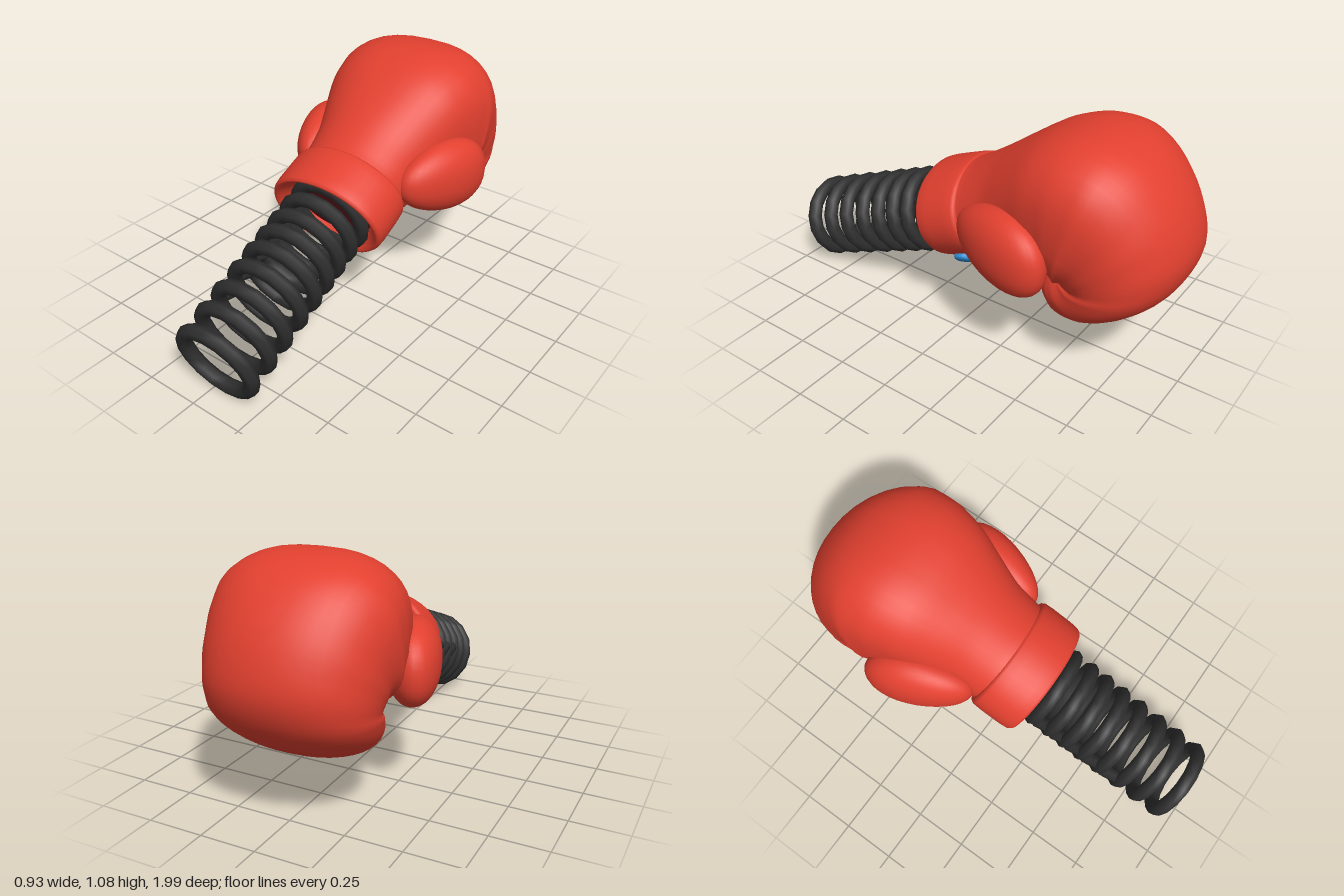
import * as THREE from 'three';
import { mergeVertices } from 'three/addons/utils/BufferGeometryUtils.js';

const material = (name, color) => {
  const m = new THREE.MeshStandardMaterial({ color });
  m.name = name;
  return m;
};

function addMesh(parent, name, geometry, mat) {
  const mesh = new THREE.Mesh(geometry, mat);
  mesh.name = name;
  parent.add(mesh);
  return mesh;
}

const spow = (v, e) => Math.sign(v) * Math.abs(v) ** e;

// Unit sphere whose vertices are moved by a rule, with seamless smooth normals.
function blob(rule) {
  let geo = new THREE.SphereGeometry(1, 32, 20);
  geo.deleteAttribute('uv');
  geo.deleteAttribute('normal');
  geo = mergeVertices(geo);
  const pos = geo.attributes.position;
  for (let i = 0; i < pos.count; i++) {
    pos.setXYZ(i, ...rule(pos.getX(i), pos.getY(i), pos.getZ(i)));
  }
  geo.computeVertexNormals();
  return geo;
}

// Glove sections: palm side z, y; back-of-hand side z, y; half width; roundness.
const SECTIONS = [
  [-0.05, 0.37, 0.06, 0.765, 0.255, 2.0],
  [-0.10, 0.37, 0.01, 0.79, 0.26, 2.0],
  [-0.20, 0.375, -0.10, 0.86, 0.275, 2.1],
  [-0.30, 0.41, -0.22, 0.945, 0.31, 2.3],
  [-0.40, 0.45, -0.36, 1.035, 0.355, 2.5],
  [-0.49, 0.44, -0.50, 1.078, 0.385, 2.6],
  [-0.50, 0.42, -0.64, 1.075, 0.395, 2.6],
  [-0.48, 0.41, -0.78, 1.02, 0.39, 2.4],
  [-0.47, 0.41, -0.90, 0.90, 0.375, 2.2],
  [-0.46, 0.41, -0.975, 0.76, 0.365, 2.1],
  [-0.46, 0.43, -1.00, 0.62, 0.355, 2.1],
  [-0.45, 0.45, -0.95, 0.48, 0.35, 2.2],
  [-0.45, 0.46, -0.84, 0.365, 0.335, 2.2],
  [-0.43, 0.46, -0.70, 0.28, 0.31, 2.2],
  [-0.41, 0.45, -0.55, 0.25, 0.265, 2.2],
  [-0.385, 0.43, -0.43, 0.285, 0.19, 2.1],
  [-0.375, 0.39, -0.385, 0.33, 0.08, 2.0],
];

// Loft the sections along the curled hand.
function gloveGeometry(rows = 64, cols = 40) {
  const spline = (f) => new THREE.CatmullRomCurve3(SECTIONS.map(f));
  const palm = spline((s) => new THREE.Vector3(0, s[1], s[0]));
  const back = spline((s) => new THREE.Vector3(0, s[3], s[2]));
  const shape = spline((s) => new THREE.Vector3(s[4], s[5], 0));
  const pos = [];
  const index = [];
  const centres = [];
  for (let i = 0; i <= rows; i++) {
    const a = palm.getPoint(i / rows);
    const b = back.getPoint(i / rows);
    const { x: width, y: n } = shape.getPoint(i / rows);
    const mid = a.clone().add(b).multiplyScalar(0.5);
    const up = b.sub(a).multiplyScalar(0.5);
    centres.push(mid);
    for (let j = 0; j < cols; j++) {
      const t = (j / cols) * Math.PI * 2;
      const c = spow(Math.cos(t), 2 / n);
      const s = spow(Math.sin(t), 2 / n);
      pos.push(width * c, mid.y + up.y * s, mid.z + up.z * s);
    }
  }
  const first = pos.length / 3;
  pos.push(...centres[0].toArray(), ...centres[rows].toArray());
  for (let j = 0; j < cols; j++) {
    const k = (j + 1) % cols;
    for (let i = 0; i < rows; i++) {
      const p = i * cols;
      const q = p + cols;
      index.push(p + j, q + j, p + k, q + j, q + k, p + k);
    }
    index.push(first, j, k, first + 1, rows * cols + k, rows * cols + j);
  }
  const geo = new THREE.BufferGeometry();
  geo.setAttribute('position', new THREE.Float32BufferAttribute(pos, 3));
  geo.setIndex(index);
  geo.computeVertexNormals();
  return geo;
}

// Side pad, fuller towards the knuckles and leaning out from the wrist.
const sidePadGeometry = (side) => blob((x, y, z) => [
  side * (0.327 - 0.06 * z) + 0.12 * x * (1 - 0.1 * z),
  0.598 + 0.17 * spow(y, 0.9) * (1 - 0.18 * z) + 0.015 * z,
  -0.282 + 0.243 * z,
]);

// Oval cuff with a bevelled lip sloping in to its opening.
const CUFF_OVAL = 0.775;
const OPENING = { radius: 0.2, depth: 0.14 };
function cuffGeometry() {
  const profile = [
    [0, -0.012], [0.262, -0.012], [0.276, -0.008], [0.284, 0.004], [0.287, 0.05],
    [0.287, 0.15], [0.283, 0.195], [0.274, 0.208], [0.262, 0.208], [0.25, 0.198],
    [OPENING.radius, OPENING.depth],
  ].map(([r, y]) => new THREE.Vector2(r, y));
  return new THREE.LatheGeometry(profile, 40).scale(1, 1, CUFF_OVAL).rotateX(Math.PI / 2);
}

// Rounded strap bent around the underside of the cuff.
const strapGeometry = () => blob((x, y, z) => {
  const angle = -Math.PI / 2 + 0.13 + 0.66 * spow(x, 0.7);
  const r = 0.01 - 0.03 * spow(y, 0.7);
  return [
    (0.285 + r) * Math.cos(angle),
    (0.22 + r) * Math.sin(angle),
    0.096 + 0.057 * spow(z, 0.75),
  ];
});

// Row of tilted coils rising into the cuff, linked on the right-hand side.
function addSpring(parent, mat) {
  const spring = new THREE.Group();
  spring.name = 'spring';
  parent.add(spring);
  const coilGeometry = new THREE.TorusGeometry(0.171, 0.034, 7, 16);
  const centres = [0.912, 0.8, 0.695, 0.588, 0.49, 0.4, 0.315, 0.225, 0.14]
    .map((z) => new THREE.Vector3(0, 0.2 + 0.38 * (0.912 - z), z));
  centres.forEach((centre, i) => {
    const coil = addMesh(spring, 'coil', coilGeometry, mat);
    coil.position.copy(centre);
    coil.rotation.x = 0.285;
    if (i < 3) return;
    const start = centres[i - 1].clone().add(new THREE.Vector3(-0.168, 0.03, -0.01));
    const end = centre.clone().add(new THREE.Vector3(-0.168, -0.03, 0.01));
    addMesh(spring, 'coilLink', new THREE.TubeGeometry(new THREE.LineCurve3(start, end), 1, 0.03, 7), mat);
  });
}

export function createModel() {
  const red = material('glove red', 0xe2402f);
  const darkRed = material('opening dark red', 0x5c1418);
  const black = material('spring black', 0x2f2f2f);
  const blue = material('strap blue', 0x2f8fd6);

  const model = new THREE.Group();
  model.name = 'springGlove';

  // The whole toy is turned slightly about the upright axis.
  const body = new THREE.Group();
  body.name = 'body';
  body.position.x = 0.02;
  body.rotation.y = 0.055;
  model.add(body);

  addMesh(body, 'glove', gloveGeometry(), red);
  addMesh(body, 'leftSidePad', sidePadGeometry(1), red);
  addMesh(body, 'rightSidePad', sidePadGeometry(-1), red);
  addSpring(body, black);

  // Cuff, opening and strap share one sloping axis.
  const wrist = new THREE.Group();
  wrist.name = 'wrist';
  wrist.position.set(0, 0.57, -0.02);
  wrist.rotation.x = 0.36;
  body.add(wrist);

  addMesh(wrist, 'cuff', cuffGeometry(), red);
  addMesh(wrist, 'strap', strapGeometry(), blue);
  const opening = addMesh(wrist, 'cuffOpening', new THREE.CircleGeometry(OPENING.radius, 40), darkRed);
  opening.scale.y = CUFF_OVAL;
  opening.position.z = OPENING.depth;
  return model;
}
